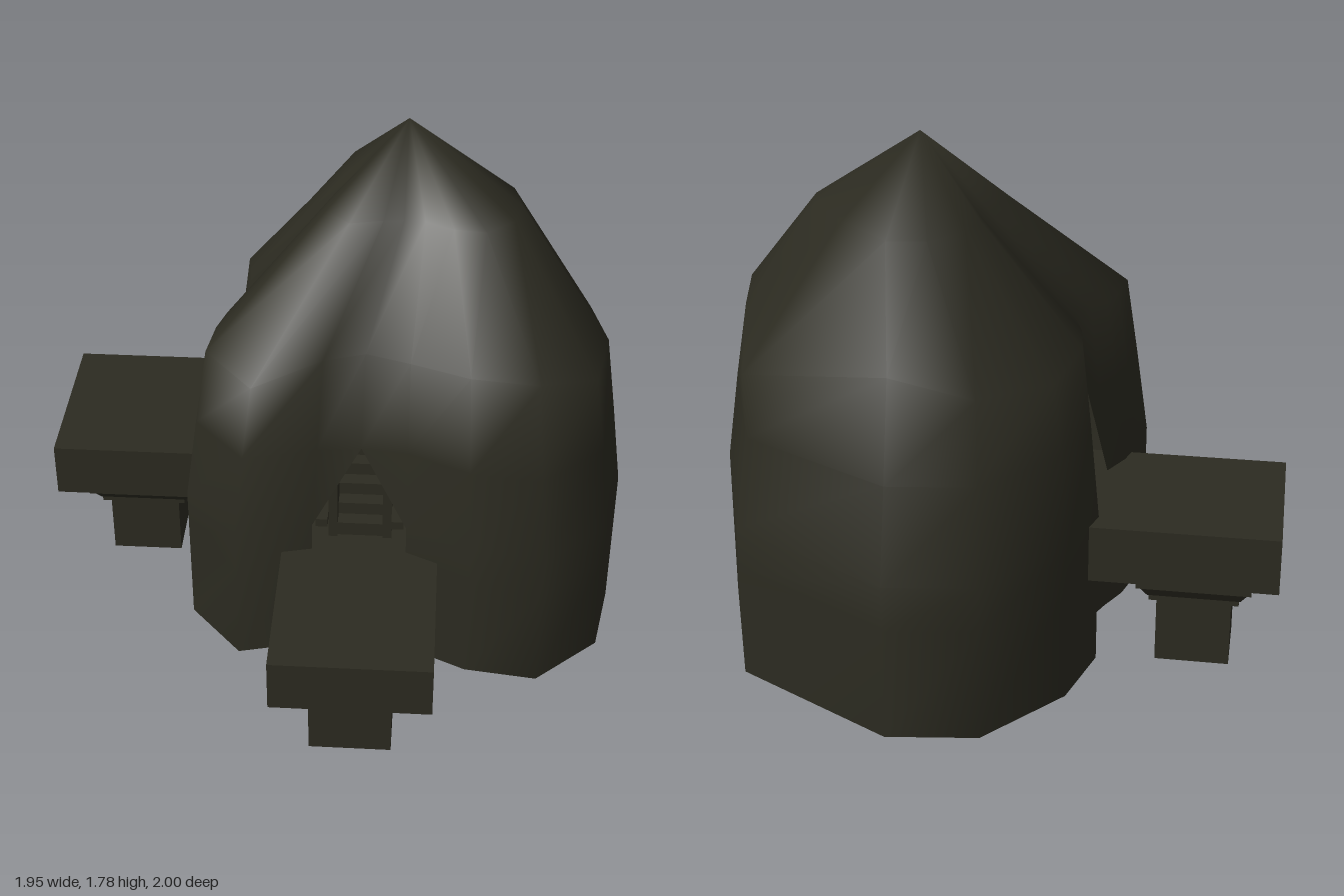
import * as THREE from 'three';

const darkOlive = new THREE.MeshStandardMaterial({ color: 0x2c2b21, side: THREE.DoubleSide });
darkOlive.name = 'darkOlive';

function add(parent, name, geometry, x = 0, y = 0, z = 0) {
  const mesh = new THREE.Mesh(geometry, darkOlive);
  mesh.name = name;
  mesh.position.set(x, y, z);
  parent.add(mesh);
  return mesh;
}

// Box given by its limits along each axis
function block(parent, name, [x0, x1], [y0, y1], [z0, z1]) {
  return add(parent, name, new THREE.BoxGeometry(x1 - x0, y1 - y0, z1 - z0),
    (x0 + x1) / 2, (y0 + y1) / 2, (z0 + z1) / 2);
}

// Hollow square section that may flare; half widths at bottom and top
function squareSection(parent, name, bottom, top, y0, y1, x, z) {
  const g = new THREE.CylinderGeometry(top * Math.SQRT2, bottom * Math.SQRT2, y1 - y0, 4, 1, true)
    .rotateY(Math.PI / 4).toNonIndexed();
  g.computeVertexNormals();
  return add(parent, name, g, x, (y0 + y1) / 2, z);
}

// Lobed shell: one plan outline, scaled about a shifting centre at each level
function shellGeometry() {
  const outline = [ // x, z, height of the shoulder
    [0.2, -1, 1.2], [-0.09, -0.96, 1.13], [-0.32, -0.68, 1.1], [-0.39, -0.43, 1.14],
    [-0.37, -0.3, 1.16], [-0.33, -0.2, 1.18], [-0.38, -0.08, 1.17], [-0.43, 0.02, 1.16],
    [-0.46, 0.13, 1.16], [-0.48, 0.3, 1.16], [-0.3, 0.5, 1.14], [-0.05, 0.44, 1.2],
    [0.1, 0.42, 1.2], [0.26, 0.44, 1.2], [0.47, 0.54, 1.23], [0.71, 0.57, 1.23],
    [0.92, 0.38, 1.15], [0.97, 0.12, 1.16], [0.92, -0.15, 1.14], [0.73, -0.7, 1.1],
  ];
  const levels = [ // y, scale x, scale z, centre x, centre z
    [0.08, 1, 1, 0, 0], [0.45, 1, 1, 0, 0], [0.6, 1, 1, 0, 0],
    [0.89, 0.945, 0.92, 0.25, 0.13], [1.19, 0.89, 0.84, 0.25, 0.13],
    [1.53, 0.43, 0.41, 0.31, -0.23],
  ];
  const sideDoor = 5, frontDoor = 12, backCorner = 19, n = outline.length;
  const doorRow = 3, shoulderRow = 4, crownRow = 5;
  const position = [], index = [];
  levels.forEach(([y, sx, sz, cx, cz], row) => outline.forEach(([x, z, shoulder], i) => {
    let py = y, px = cx + sx * (x - cx), pz = cz + sz * (z - cz);
    if (row === doorRow && i === sideDoor) py = 1.0;
    if (row === shoulderRow) {
      py = shoulder;
      // shallow groove above the front doorway
      if (i === frontDoor) pz -= 0.06;
      if (Math.abs(i - frontDoor) === 1) pz -= 0.03;
    }
    if (i === backCorner && row === shoulderRow) { px += 0.03; pz -= 0.06; }
    if (i === backCorner && row === crownRow) { px -= 0.05; pz += 0.05; }
    position.push(px, py, pz);
  }));
  position.push(0.225, 1.78, -0.18);
  const apex = levels.length * n;
  for (let row = 0; row < levels.length; row++) {
    for (let i = 0; i < n; i++) {
      const j = (i + 1) % n;
      const a = row * n + i, b = row * n + j, c = b + n, d = a + n;
      const doorRight = i === sideDoor || i === frontDoor;
      const doorLeft = j === sideDoor || j === frontDoor;
      if (row === crownRow) index.push(a, b, apex);
      else if (row === 1 && (doorLeft || doorRight)) continue;
      else if (row === 2 && doorLeft) index.push(a, c, d);
      else if (row === 2 && doorRight) index.push(b, c, d);
      else index.push(a, b, c, a, c, d);
    }
  }
  const g = new THREE.BufferGeometry();
  g.setAttribute('position', new THREE.Float32BufferAttribute(position, 3));
  g.setIndex(index);
  g.computeVertexNormals();
  return g;
}

// Square pier with a stepped, flaring capital
function pier(parent, name, x, z, y0, height, half) {
  const group = new THREE.Group();
  group.name = name;
  parent.add(group);
  const top = y0 + height;
  squareSection(group, 'shaft', half, half, y0, top, x, z);
  block(group, 'collar', [x - half - 0.025, x + half + 0.025], [top - 0.01, top + 0.01],
    [z - half - 0.025, z + half + 0.025]);
  squareSection(group, 'capital', half + 0.03, half + 0.055, top + 0.01, top + 0.05, x, z);
  block(group, 'capitalSlab', [x - half - 0.065, x + half + 0.065], [top + 0.05, top + 0.07],
    [z - half - 0.065, z + half + 0.065]);
}

export function createModel() {
  const model = new THREE.Group();
  model.name = 'domedShelter';
  add(model, 'shell', shellGeometry());

  // Front landing
  block(model, 'frontPlatform', [-0.15, 0.365], [0.32, 0.5], [0.1, 1]);
  pier(model, 'frontPier', 0.1, 0.715, 0, 0.25, 0.135);

  // Side landing, raised on four short posts
  block(model, 'sidePlatform', [-0.975, -0.15], [0.41, 0.6], [-0.51, 0.08]);
  pier(model, 'sidePier', -0.7, -0.205, 0.035, 0.245, 0.123);
  for (const sx of [-1, 1]) for (const sz of [-1, 1]) {
    const x = -0.7 + sx * 0.092, z = -0.205 + sz * 0.092;
    block(model, 'sidePost', [x - 0.025, x + 0.025], [0.34, 0.42], [z - 0.025, z + 0.025]);
  }

  // Hollow inner footing and small plinth
  squareSection(model, 'innerFooting', 0.19, 0.19, 0.1, 0.35, 0.175, 0.21);
  block(model, 'innerPlinth', [0.57, 0.69], [0.1, 0.28], [0.16, 0.28]);

  // Stairs and door jambs behind the front doorway
  for (let i = 0; i < 5; i++) {
    block(model, 'stair', [0.03, 0.18], [0.48, 0.55 + i * 0.045], [0.1, 0.36 - i * 0.05]);
  }
  for (const s of [-1, 1]) {
    const x = 0.105 + s * 0.09;
    block(model, 'doorJamb', [x - 0.015, x + 0.015], [0.48, 0.74], [0.1, 0.37]);
    const b = 0.105 + s * 0.125;
    block(model, 'doorBracket', [b - 0.02, b + 0.02], [0.58, 0.61], [0.3, 0.42]);
  }
  return model;
}
